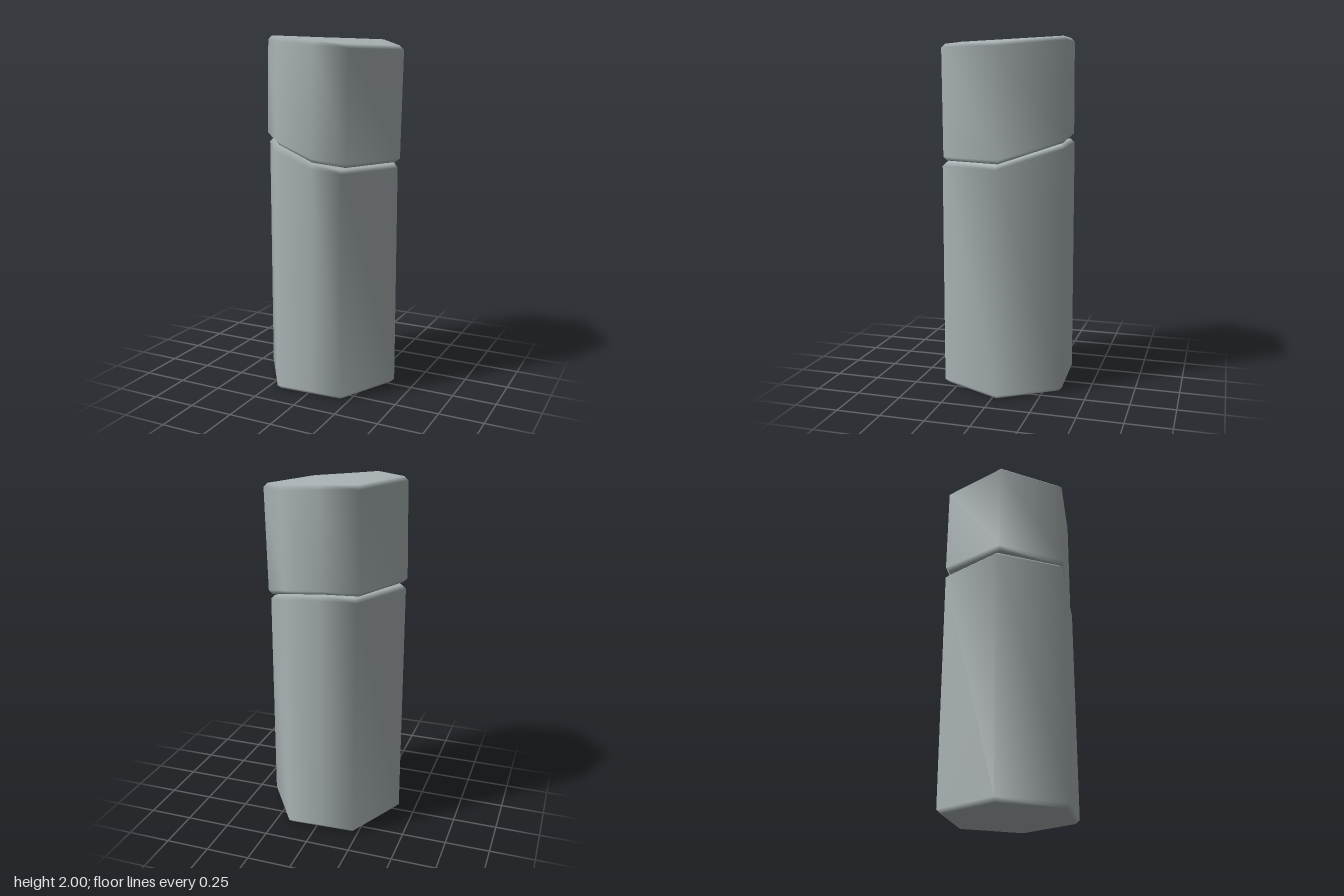
import * as THREE from 'three';

const BEVEL = 0.022;

// Outline points run counter-clockwise seen from above, starting at +x:
// six hexagon corners plus one bend point on the back and front faces.
const lowerOutline = [
  [0.385, -0.025], [0.165, -0.353], [-0.03, -0.343], [-0.23, -0.333],
  [-0.405, 0.025], [-0.185, 0.355], [0.03, 0.344], [0.21, 0.333],
];
const upperOutline = [
  [0.405, -0.04], [0.17, -0.365], [-0.035, -0.345], [-0.24, -0.325],
  [-0.395, 0.045], [-0.155, 0.362], [0.045, 0.341], [0.245, 0.32],
];

// Heights at those points
const breakHeights = [1.295, 1.4, 1.41, 1.413, 1.413, 1.403, 1.315, 1.295];
const crownHeights = [1.94, 1.98, 1.988, 1.995, 2.0, 1.98, 1.962, 1.945];

// Cap facets follow the creases of the sloping end faces
const capFacets = [[5, 1, 2], [5, 2, 3], [5, 3, 4], [5, 6, 1], [6, 0, 1], [6, 7, 0]];

// One ring of points, optionally drawn in towards the middle
function ring(outline, heights, inset, lift) {
  const s = 1 - inset / 0.37;
  return outline.map(([x, z], i) => [x * s, heights[i] + lift, z * s]);
}

// Smooth prism with bevelled ends, lofted through four rings
function prism(bottomOutline, bottomHeights, topOutline, topHeights) {
  const rings = [
    ring(bottomOutline, bottomHeights, BEVEL, 0),
    ring(bottomOutline, bottomHeights, 0, BEVEL),
    ring(topOutline, topHeights, 0, -BEVEL),
    ring(topOutline, topHeights, BEVEL, 0),
  ];
  const n = topOutline.length;
  const index = [];
  for (let r = 0; r < rings.length - 1; r++) {
    for (let i = 0; i < n; i++) {
      const j = (i + 1) % n;
      const a = r * n + i, b = r * n + j, c = b + n, d = a + n;
      index.push(a, b, d, b, c, d);
    }
  }
  const top = (rings.length - 1) * n;
  for (const [a, b, c] of capFacets) {
    index.push(top + a, top + b, top + c);
    index.push(a, c, b);
  }
  const geometry = new THREE.BufferGeometry();
  geometry.setAttribute('position', new THREE.Float32BufferAttribute(rings.flat(2), 3));
  geometry.setIndex(index);
  geometry.computeVertexNormals();
  return geometry;
}

export function createModel() {
  const stone = new THREE.MeshStandardMaterial({ color: 0xaab3b5 });
  stone.name = 'grey stone';
  const model = new THREE.Group();
  model.name = 'brokenColumn';

  const add = (name, geometry) => {
    const mesh = new THREE.Mesh(geometry, stone);
    mesh.name = name;
    model.add(mesh);
  };

  // Standing shaft with a stepped break on top
  add('lowerShaft', prism(lowerOutline, lowerOutline.map(() => 0), lowerOutline, breakHeights));

  // Slightly leaning cap stone resting on the break
  const leanOutline = upperOutline.map(([x, z]) => [x - 0.013, z]);
  add('upperBlock', prism(leanOutline, breakHeights.map((h) => h + 0.01), upperOutline, crownHeights));

  return model;
}
